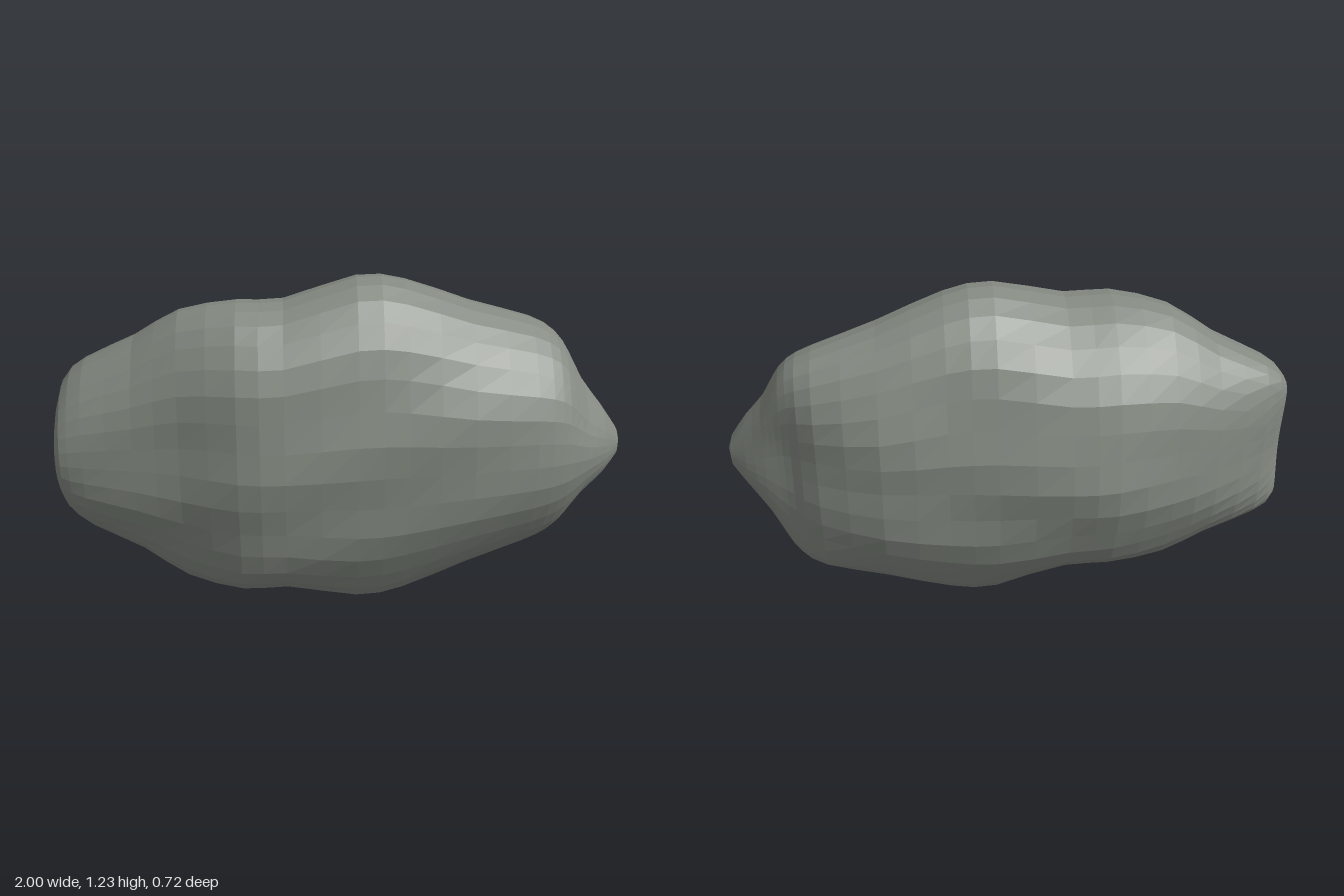
import * as THREE from 'three';

// Cross-sections along the rock: x, half height, front z, back z, ridge z
const SECTIONS = [
  [-1.0, 0.12, 0.16, 0.03, 0.07],
  [-0.98, 0.24, 0.185, -0.06, -0.02],
  [-0.9, 0.315, 0.205, -0.15, -0.02],
  [-0.72, 0.405, 0.235, -0.245, 0.0],
  [-0.56, 0.505, 0.27, -0.295, 0.03],
  [-0.36, 0.545, 0.34, -0.35, 0.06],
  [-0.2, 0.545, 0.35, -0.355, 0.05],
  [0.05, 0.615, 0.33, -0.335, 0.01],
  [0.22, 0.595, 0.315, -0.325, -0.01],
  [0.45, 0.505, 0.295, -0.315, -0.04],
  [0.67, 0.435, 0.26, -0.235, -0.07],
  [0.76, 0.385, 0.235, -0.165, -0.06],
  [0.81, 0.315, 0.215, -0.135, -0.04],
  [0.86, 0.22, 0.19, -0.11, -0.02],
  [0.93, 0.13, 0.14, -0.07, 0.01],
  [0.985, 0.05, 0.08, -0.03, 0.02],
];
const SIDES = 32;
const STEPS = 2;
const MID_Y = 0.615;

// Smooth blend through four neighbouring values
function cubic(a, b, c, d, t) {
  const m0 = (c - a) / 2, m1 = (d - b) / 2;
  return b + t * (m0 + t * (3 * (c - b) - 2 * m0 - m1 + t * (2 * (b - c) + m0 + m1)));
}

function sectionAt(s) {
  const last = SECTIONS.length - 1;
  const i = Math.min(Math.floor(s), last);
  const pick = (k) => SECTIONS[Math.max(0, Math.min(last, k))];
  return pick(i).map((v, n) => cubic(pick(i - 1)[n], v, pick(i + 1)[n], pick(i + 2)[n], s - i));
}

function rockGeometry() {
  const positions = [];
  const index = [];
  const rings = (SECTIONS.length - 1) * STEPS + 1;

  for (let i = 0; i < rings; i++) {
    const [x, h, front, back, ridge] = sectionAt(i / STEPS);
    const mid = (front + back) / 2, half = (front - back) / 2;
    // Sections grow boxier toward both ends
    const power = 1 - 0.35 * x ** 4;
    for (let j = 0; j < SIDES; j++) {
      const a = (j / SIDES) * Math.PI * 2;
      const s = Math.sin(a), c = Math.cos(a);
      const y = h * s;
      const across = half * Math.sign(c) * Math.abs(c) ** power;
      // Slanting shallow ripples, fading out at the rim
      const ripple = 1 + 0.025 * Math.sin(17 * (y - 0.28 * x) + 0.6);
      const z = mid + across * ripple + (ridge - mid) * s * s;
      positions.push(x, MID_Y + y, z);
    }
  }

  // Skin between rings
  const at = (i, j) => i * SIDES + (j % SIDES);
  for (let i = 0; i < rings - 1; i++) {
    for (let j = 0; j < SIDES; j++) {
      const a = at(i, j), b = at(i + 1, j), c = at(i + 1, j + 1), d = at(i, j + 1);
      index.push(a, b, c, a, c, d);
    }
  }

  // Blunt end and pointed tip
  const blunt = rings * SIDES, tip = blunt + 1;
  positions.push(-1.0, MID_Y, 0.09, 1.0, MID_Y, 0.03);
  for (let j = 0; j < SIDES; j++) {
    index.push(blunt, at(0, j), at(0, j + 1));
    index.push(tip, at(rings - 1, j + 1), at(rings - 1, j));
  }

  const geometry = new THREE.BufferGeometry();
  geometry.setAttribute('position', new THREE.Float32BufferAttribute(positions, 3));
  geometry.setIndex(index);
  geometry.computeVertexNormals();
  return geometry;
}

export function createModel() {
  const stone = new THREE.MeshStandardMaterial({ color: 0x848a82 });
  stone.name = 'greyStone';
  stone.flatShading = true;

  const rock = new THREE.Mesh(rockGeometry(), stone);
  rock.name = 'rock';

  const model = new THREE.Group();
  model.name = 'asteroid';
  model.add(rock);
  return model;
}
